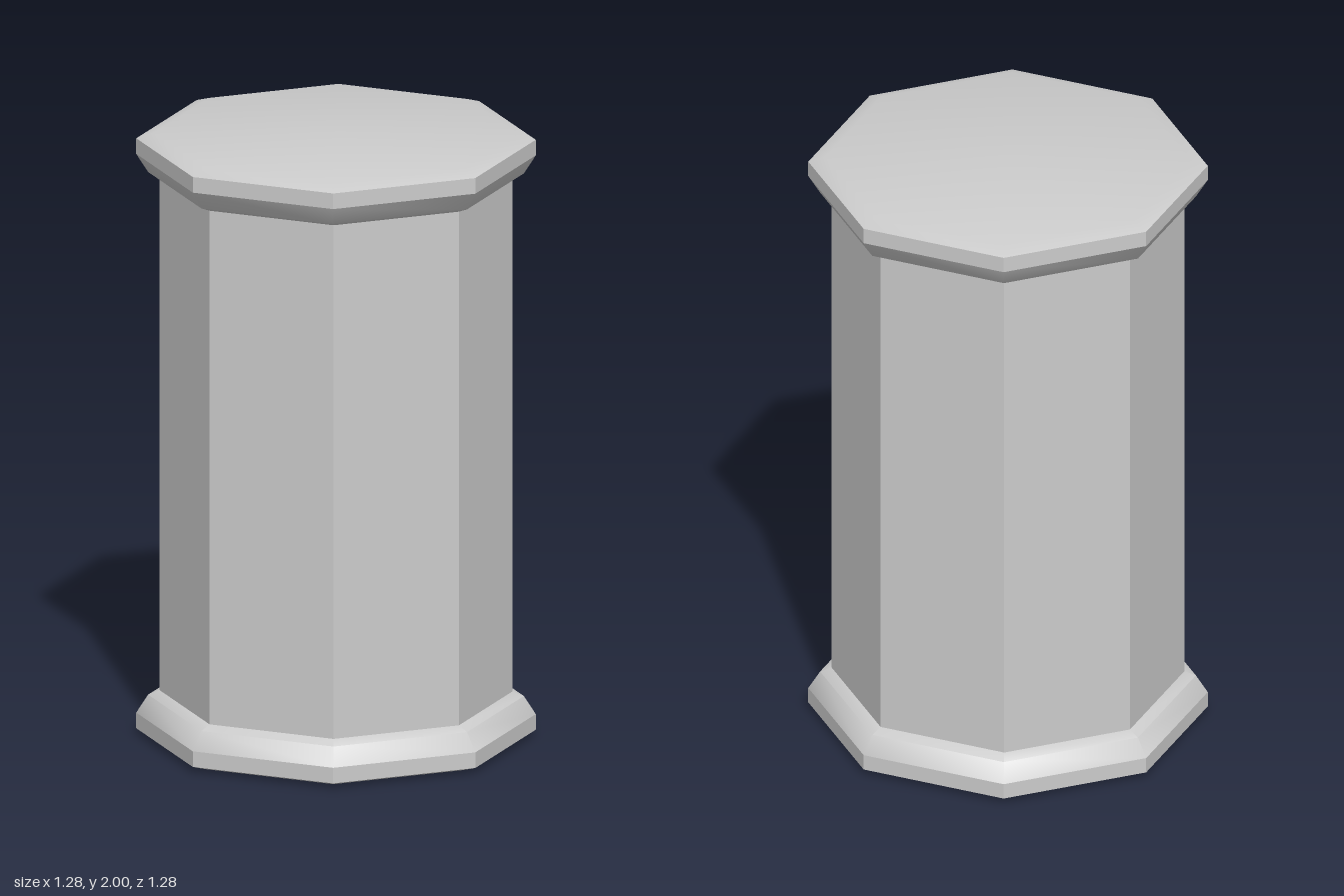
import * as THREE from 'three';
import { toCreasedNormals } from 'three/addons/utils/BufferGeometryUtils.js';

const SIDES = 8;
const RIM = 0.64;
const SHAFT = 0.565;
const material = new THREE.MeshStandardMaterial({ color: 0xcccccc });

// Eight-sided turned part; profile is [radius, height] from bottom to top
function turned(name, profile) {
  const points = profile.map(([r, y]) => new THREE.Vector2(r, y));
  const geometry = new THREE.LatheGeometry(points, SIDES);
  const mesh = new THREE.Mesh(toCreasedNormals(geometry, THREE.MathUtils.degToRad(42)), material);
  mesh.name = name;
  return mesh;
}

// End slab: bevelled face, upright rim and a moulding that runs into the shaft
function endSlab(name) {
  const slab = new THREE.Group();
  slab.name = name;
  slab.add(
    turned(name + 'Face', [[0, 0], [0.585, 0], [RIM, 0.018]]),
    turned(name + 'Rim', [[RIM, 0.018], [RIM, 0.07]]),
    turned(name + 'Moulding', [[RIM, 0.07], [0.602, 0.13], [SHAFT, 0.145]])
  );
  return slab;
}

export function createModel() {
  const column = new THREE.Group();
  column.name = 'octagonalColumn';

  column.add(turned('shaft', [[SHAFT, 0.145], [SHAFT, 1.855]]));
  column.add(endSlab('base'));

  // The capital is the base turned upside down
  const capital = endSlab('capital');
  capital.rotation.x = Math.PI;
  capital.position.y = 2;
  column.add(capital);

  return column;
}
